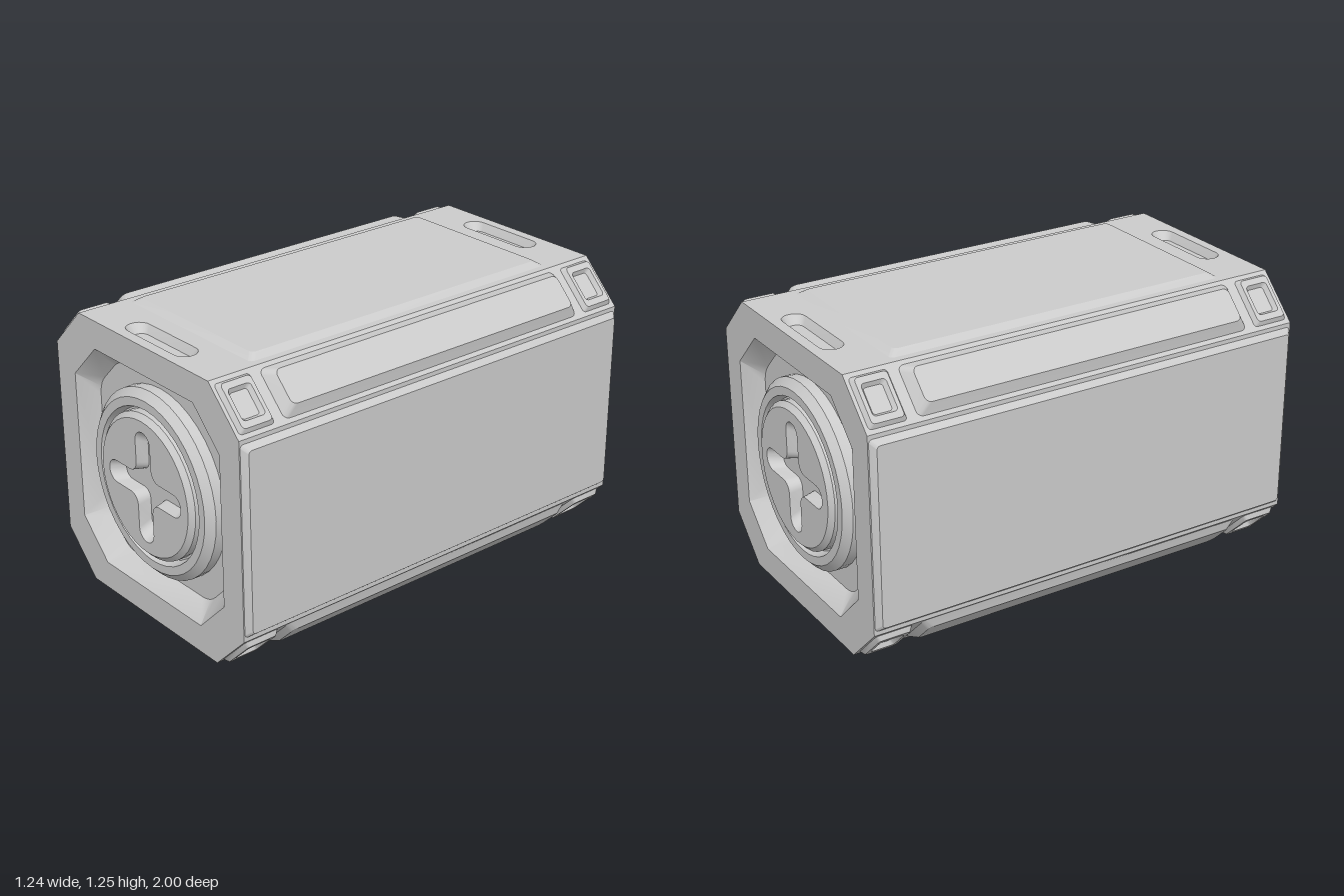
import * as THREE from 'three';
import { mergeGeometries, toCreasedNormals } from 'three/addons/utils/BufferGeometryUtils.js';

const CY = 0.635;    // height of the body's axis
const R = 0.595;     // half width of the body
const FLAT = 0.42;   // half width of each main side
const HALF = 0.985;  // half length of the body
const material = new THREE.MeshStandardMaterial({ color: 0xcccccc });

const V = (x, y) => new THREE.Vector2(x, y);

// Counter-clockwise outline with every corner cut back by r and rounded
function rounded(points, r, steps = 5) {
  const out = [];
  points.forEach((p, i) => {
    const n = points.length;
    const a = points[(i + n - 1) % n].clone().sub(p).normalize();
    const b = points[(i + 1) % n].clone().sub(p).normalize();
    const weight = Math.sqrt((1 - a.dot(b)) / 2);
    const start = p.clone().addScaledVector(a, r), end = p.clone().addScaledVector(b, r);
    for (let s = 0; s <= steps; s++) {
      const t = s / steps, k0 = (1 - t) ** 2, k1 = 2 * t * (1 - t) * weight, k2 = t * t;
      out.push(start.clone().multiplyScalar(k0).addScaledVector(p, k1).addScaledVector(end, k2)
        .divideScalar(k0 + k1 + k2));
    }
  });
  return out;
}

const corners = (w, h) => [V(-w, -h), V(w, -h), V(w, h), V(-w, h)];
const rect = (w, h, r) => rounded(corners(w, h), r);
const octagon = (s, f) => [V(f, -s), V(s, -f), V(s, f), V(f, s), V(-f, s), V(-s, f), V(-s, -f), V(-f, -s)];
const circle = (r, n = 40) => Array.from({ length: n }, (_, i) =>
  V(r * Math.cos(i / n * 2 * Math.PI), r * Math.sin(i / n * 2 * Math.PI)));
const shifted = (pts, x, y) => pts.map(p => V(p.x + x, p.y + y));

// Plus-shaped outline: arm length a, half width w
const cross = (a, w, r) => rounded([V(w, -a), V(w, -w), V(a, -w), V(a, w), V(w, w), V(w, a),
  V(-w, a), V(-w, w), V(-a, w), V(-a, -w), V(-w, -w), V(-w, -a)], r);

// Flat face at height z, with holes
function sheet(outline, z = 0, holes = []) {
  const shape = new THREE.Shape(outline);
  shape.holes = holes.map(h => new THREE.Path(h));
  const g = new THREE.ShapeGeometry(shape).toNonIndexed();
  g.deleteAttribute('uv');
  return g.translate(0, 0, z);
}

// Walls through matching rings [outline, z], closed by a face on the last ring
function loft(rings, { cap = true, holes = [] } = {}) {
  const pos = [];
  for (let k = 0; k + 1 < rings.length; k++) {
    const [a, za] = rings[k], [b, zb] = rings[k + 1];
    a.forEach((p, i) => {
      const j = (i + 1) % a.length, q = a[j], s = b[j], t = b[i];
      pos.push(p.x, p.y, za, q.x, q.y, za, s.x, s.y, zb, p.x, p.y, za, s.x, s.y, zb, t.x, t.y, zb);
    });
  }
  const walls = new THREE.BufferGeometry();
  walls.setAttribute('position', new THREE.Float32BufferAttribute(pos, 3));
  walls.computeVertexNormals();
  const [last, z] = rings[rings.length - 1];
  return cap ? mergeGeometries([walls, sheet(last, z, holes)]) : walls;
}

// Raised panel with a bevelled border
const panel = (w, l, h, bevel, r) => loft([[rect(w, l, r), 0], [rect(w - bevel, l - bevel, r), h]]);

function add(parent, name, ...geometries) {
  const g = geometries.length > 1 ? mergeGeometries(geometries) : geometries[0];
  const mesh = new THREE.Mesh(toCreasedNormals(g, 0.4), material);
  mesh.name = name;
  parent.add(mesh);
  return mesh;
}

// Group on one of the eight sides: x runs around the body, y along it, z outward
function sideGroup(root, name, angle, distance) {
  const g = new THREE.Group();
  const out = new THREE.Vector3(Math.cos(angle), Math.sin(angle), 0);
  const along = new THREE.Vector3(0, 0, 1);
  g.setRotationFromMatrix(new THREE.Matrix4().makeBasis(along.clone().cross(out), along, out));
  g.position.copy(out).multiplyScalar(distance).add(new THREE.Vector3(0, CY, 0));
  g.name = name;
  root.add(g);
  return g;
}

export function createModel() {
  const root = new THREE.Group();
  root.name = 'crate';

  // Main sides: left, top, right, bottom
  ['leftSide', 'topSide', 'rightSide', 'bottomSide'].forEach((name, i) => {
    const side = sideGroup(root, name, i * Math.PI / 2, R);
    const slots = name === 'topSide' ? [-0.89, 0.89] : [];
    add(side, 'bodyPlate', sheet(corners(FLAT, HALF), 0, slots.map(z => shifted(rect(0.2, 0.05, 0.049), 0, z))));
    if (name === 'topSide') {
      add(side, 'topPanel', panel(0.387, 0.765, 0.02, 0.03, 0.02));
      for (const z of slots) {
        add(side, 'gripSlot', loft([[rect(0.2, 0.05, 0.049), 0], [rect(0.168, 0.032, 0.031), -0.035]]))
          .position.y = z;
      }
    } else if (name === 'bottomSide') {
      // Row of tread feet, short ones at the ends
      for (const [z, half] of [[-0.89, 0.085], [-0.6, 0.19], [-0.2, 0.19], [0.2, 0.19], [0.6, 0.19], [0.89, 0.085]]) {
        add(side, 'foot', panel(0.387, half, 0.04, 0.025, 0.02)).position.y = z;
      }
    } else {
      add(side, 'sidePanel', panel(0.402, 0.98, 0.025, 0.02, 0.015));
    }
  });

  // Chamfered corners with a long bar and a square frame at each end
  const half = (R - FLAT) / Math.SQRT2;
  for (let i = 0; i < 4; i++) {
    const side = sideGroup(root, 'chamferedEdge', (i + 0.5) * Math.PI / 2, (R + FLAT) / Math.SQRT2);
    add(side, 'bodyPlate', sheet(corners(half, HALF)));
    add(side, 'edgeBar', panel(0.105, 0.765, i < 2 ? 0.042 : 0.026, 0.032, 0.025));
    for (const z of [-0.89, 0.89]) {
      const hole = rect(0.066, 0.052, 0.015);
      add(side, 'cornerFrame',
        loft([[rect(0.105, 0.08, 0.015), 0], [rect(0.093, 0.068, 0.015), 0.02]], { holes: [hole] }),
        loft([[hole, 0.02], [rect(0.054, 0.04, 0.012), 0.001]])).position.y = z;
    }
  }

  // Matching ends: rim, recess and round cap with a cross-shaped socket
  for (const [name, turn] of [['frontEnd', 0], ['backEnd', Math.PI]]) {
    const end = new THREE.Group();
    end.name = name;
    end.rotation.y = turn;
    end.position.set(0, CY, Math.cos(turn) * HALF);
    root.add(end);
    const mouth = rounded(octagon(0.475, 0.32), 0.004);
    add(end, 'rim', sheet(octagon(R, FLAT), 0, [mouth]));
    add(end, 'recess', loft([[mouth, 0], [rounded(octagon(0.42, 0.275), 0.05), -0.08]]));
    const socket = cross(0.238, 0.048, 0.046);
    add(end, 'roundCap', loft([[0.395, -0.08], [0.395, -0.035], [0.363, -0.005], [0.327, -0.005],
      [0.314, -0.045], [0.306, -0.045], [0.306, -0.005], [0.285, 0.015]].map(([r, z]) => [circle(r), z]),
    { holes: [socket] }));
    add(end, 'crossSocket', loft([[socket, 0.015], [cross(0.203, 0.041, 0.039), -0.04]]));
  }
  return root;
}
